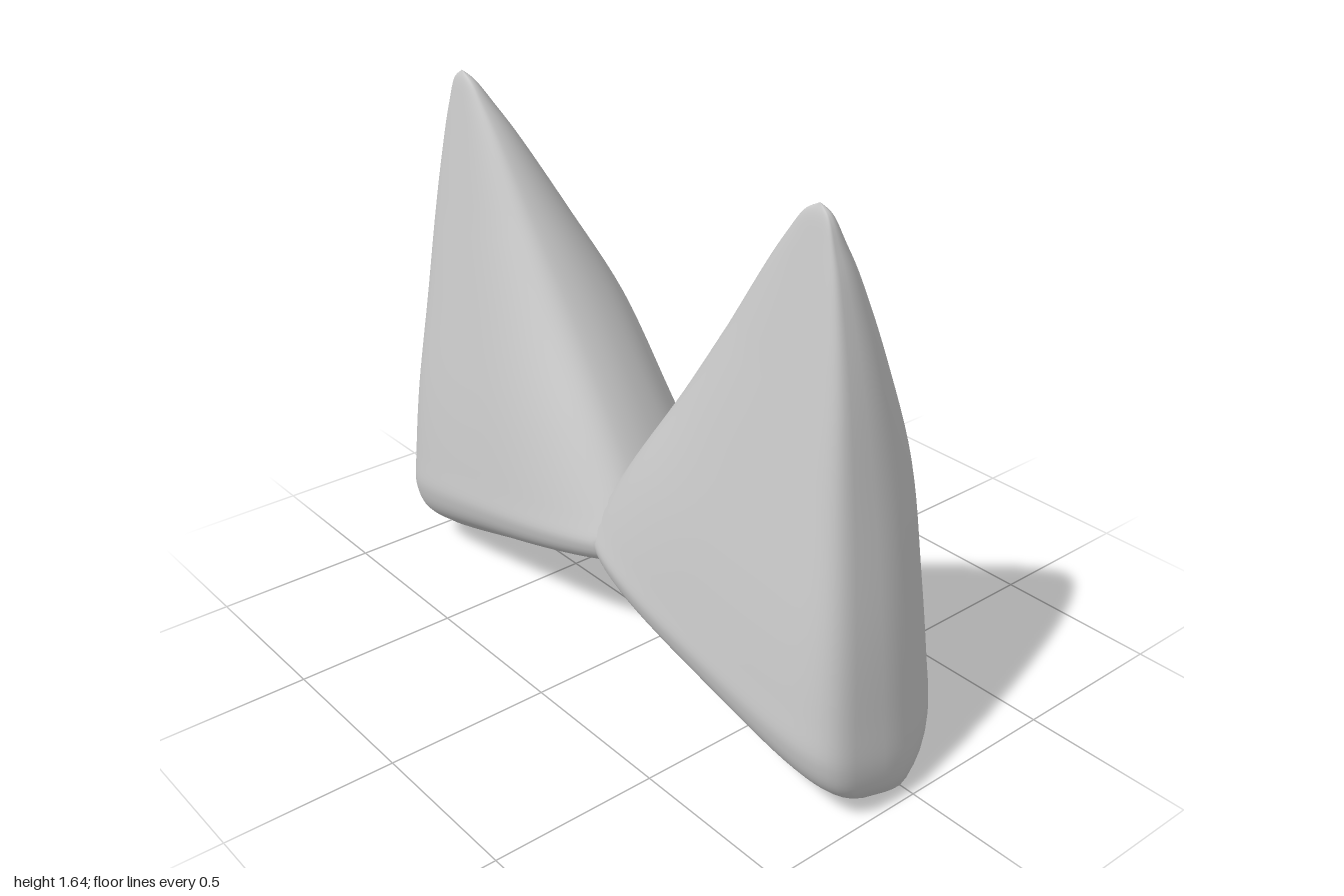
import * as THREE from 'three';
import { mergeVertices } from 'three/addons/utils/BufferGeometryUtils.js';

// Cross-sections from underside to tip: inner x, inner y, outer x, outer y, front z, back z
const SECTIONS = [
  [0.20, 0.23, 0.75, 0.08, -0.05, -0.05],
  [-0.02, 0.29, 0.93, 0.005, 0.20, -0.28],
  [-0.10, 0.31, 0.98, 0.03, 0.31, -0.335],
  [-0.13, 0.36, 1.00, 0.12, 0.355, -0.36],
  [-0.08, 0.46, 0.99, 0.28, 0.35, -0.335],
  [0.07, 0.70, 0.965, 0.55, 0.325, -0.275],
  [0.26, 0.98, 0.92, 0.88, 0.285, -0.20],
  [0.43, 1.24, 0.875, 1.20, 0.245, -0.065],
  [0.56, 1.44, 0.83, 1.43, 0.215, 0.045],
  [0.64, 1.55, 0.80, 1.54, 0.20, 0.11],
  [0.69, 1.61, 0.775, 1.61, 0.19, 0.15],
  [0.74, 1.64, 0.74, 1.64, 0.18, 0.18],
];
const ROWS = 66;
const COLS = 72;

function earGeometry(side) {
  const spline = (pick) => new THREE.CatmullRomCurve3(SECTIONS.map(pick), false, 'catmullrom', 0.5);
  const inner = spline((s) => new THREE.Vector3(s[0], s[1], s[4]));
  const outer = spline((s) => new THREE.Vector3(s[2], s[3], s[5]));
  const positions = [];
  const indices = [];

  for (let i = 0; i <= ROWS; i++) {
    const t = i / ROWS;
    const a = inner.getPoint(t);
    const b = outer.getPoint(t);
    const s = t * (SECTIONS.length - 1);
    // the lower front edge is lifted into a chamfer
    const lift = 0.1 * Math.min(s / 1.5, 1) * THREE.MathUtils.clamp(1 - (s - 3) / 4, 0, 1);
    const depth = a.z - b.z;
    const zMid = a.z - depth * 0.33;
    for (let j = 0; j < COLS; j++) {
      // nearly flat front with a rounded edge, elliptical back
      const angle = (j / COLS) * Math.PI * 2;
      const u = -Math.cos(angle);
      const front = j <= COLS / 2;
      const n = front ? (u < 0 ? 2.5 : 5) : 2;
      const bulge = Math.pow(Math.max(0, 1 - Math.pow(Math.abs(u), n)), 1 / n);
      const z = zMid + bulge * depth * (front ? 0.33 : -0.67);
      const k = (u + 1) / 2;
      const x = THREE.MathUtils.lerp(a.x, b.x, k);
      const y = THREE.MathUtils.lerp(a.y, b.y, k) + lift * Math.max(0, z / 0.35);
      positions.push(side * x, y, z);
    }
  }
  const addFace = (p, q, r) => indices.push(...(side > 0 ? [p, q, r] : [p, r, q]));
  for (let i = 0; i < ROWS; i++) {
    for (let j = 0; j < COLS; j++) {
      const next = (j + 1) % COLS;
      const p = i * COLS + j, q = i * COLS + next;
      addFace(p, q, q + COLS);
      addFace(p, q + COLS, p + COLS);
    }
  }
  let geometry = new THREE.BufferGeometry();
  geometry.setAttribute('position', new THREE.Float32BufferAttribute(positions, 3));
  geometry.setIndex(indices);
  geometry = mergeVertices(geometry, 1e-5);
  geometry.computeVertexNormals();

  // Trim at the middle, where the two ears meet
  const pos = geometry.attributes.position;
  const old = geometry.index.array;
  const kept = [];
  for (let f = 0; f < old.length; f += 3) {
    const face = [old[f], old[f + 1], old[f + 2]];
    if (new Set(face).size === 3 && face.some((v) => pos.getX(v) * side > 0)) kept.push(...face);
  }
  geometry.setIndex(kept);
  for (let v = 0; v < pos.count; v++) {
    if (pos.getX(v) * side < 0) pos.setX(v, 0);
  }
  return geometry;
}

export function createModel() {
  const group = new THREE.Group();
  group.name = 'earPair';
  const material = new THREE.MeshStandardMaterial({ color: 0xcccccc });
  for (const [name, side] of [['leftEar', 1], ['rightEar', -1]]) {
    const ear = new THREE.Mesh(earGeometry(side), material);
    ear.name = name;
    group.add(ear);
  }
  return group;
}
